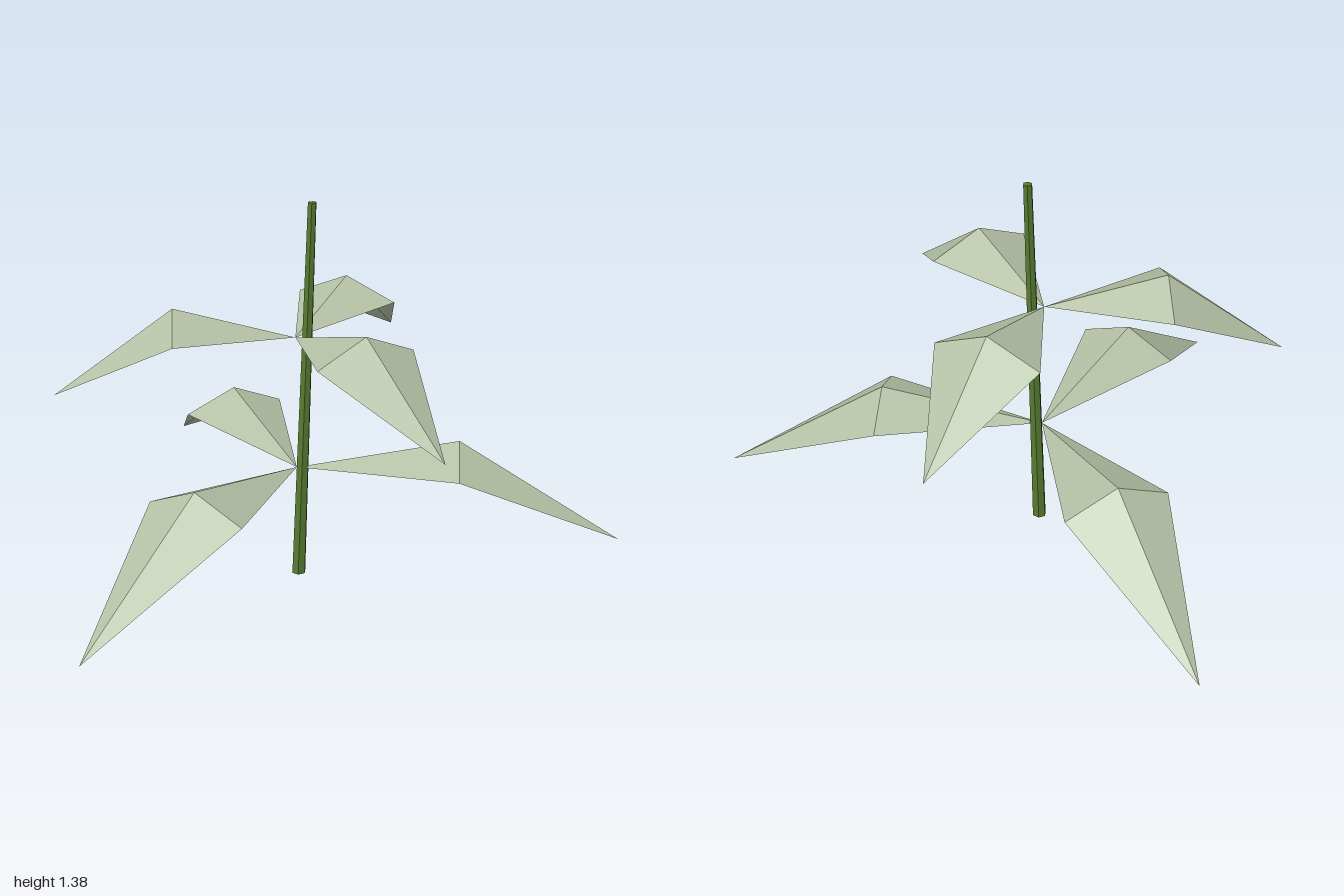
import * as THREE from 'three';

const leafMaterial = new THREE.MeshStandardMaterial({ name: 'paleLeafGreen', color: 0xb4c0a5, side: THREE.DoubleSide, flatShading: true });
const stemMaterial = new THREE.MeshStandardMaterial({ name: 'stemGreen', color: 0x567a30, flatShading: true });

// Open four-facet leaf along +x: root, raised ridge, two side corners, drooping tip
function leafGeometry(length, mid, tipDrop) {
  const root = [0, 0, 0];
  const ridge = [mid, 0.115, 0];
  const near = [mid, 0.035, 0.192];
  const far = [mid, 0.035, -0.192];
  const tip = [length, tipDrop, 0];
  const faces = [root, near, ridge, root, ridge, far, near, tip, ridge, ridge, tip, far];
  const geometry = new THREE.BufferGeometry();
  geometry.setAttribute('position', new THREE.Float32BufferAttribute(faces.flat(), 3));
  geometry.computeVertexNormals();
  return geometry;
}

// Three leaves evenly spread around the stem
function leafWhorl(name, geometry, y, startDegrees) {
  const whorl = new THREE.Group();
  whorl.name = name;
  whorl.position.set(-0.163, y, 0);
  for (let i = 0; i < 3; i++) {
    const leaf = new THREE.Mesh(geometry, leafMaterial);
    leaf.name = 'leaf';
    leaf.rotation.y = -THREE.MathUtils.degToRad(startDegrees + i * 120);
    whorl.add(leaf);
  }
  return whorl;
}

export function createModel() {
  const model = new THREE.Group();
  model.name = 'plant';

  // Tapered stem, leaning slightly with level ends
  const height = 1.375;
  const stemGeometry = new THREE.CylinderGeometry(0.016, 0.026, height, 6);
  stemGeometry.translate(0, height / 2, 0);
  const p = stemGeometry.attributes.position;
  for (let i = 0; i < p.count; i++) {
    const t = p.getY(i) / height;
    p.setX(i, p.getX(i) - 0.16 + 0.057 * t);
    p.setZ(i, p.getZ(i) - 0.02 * t);
  }
  stemGeometry.computeVertexNormals();
  const stem = new THREE.Mesh(stemGeometry, stemMaterial);
  stem.name = 'stem';
  model.add(stem);

  model.add(leafWhorl('lowerLeaves', leafGeometry(1.154, 0.577, -0.25), 0.415, 0));
  model.add(leafWhorl('upperLeaves', leafGeometry(0.839, 0.42, -0.187), 0.902, 51.5));
  return model;
}
